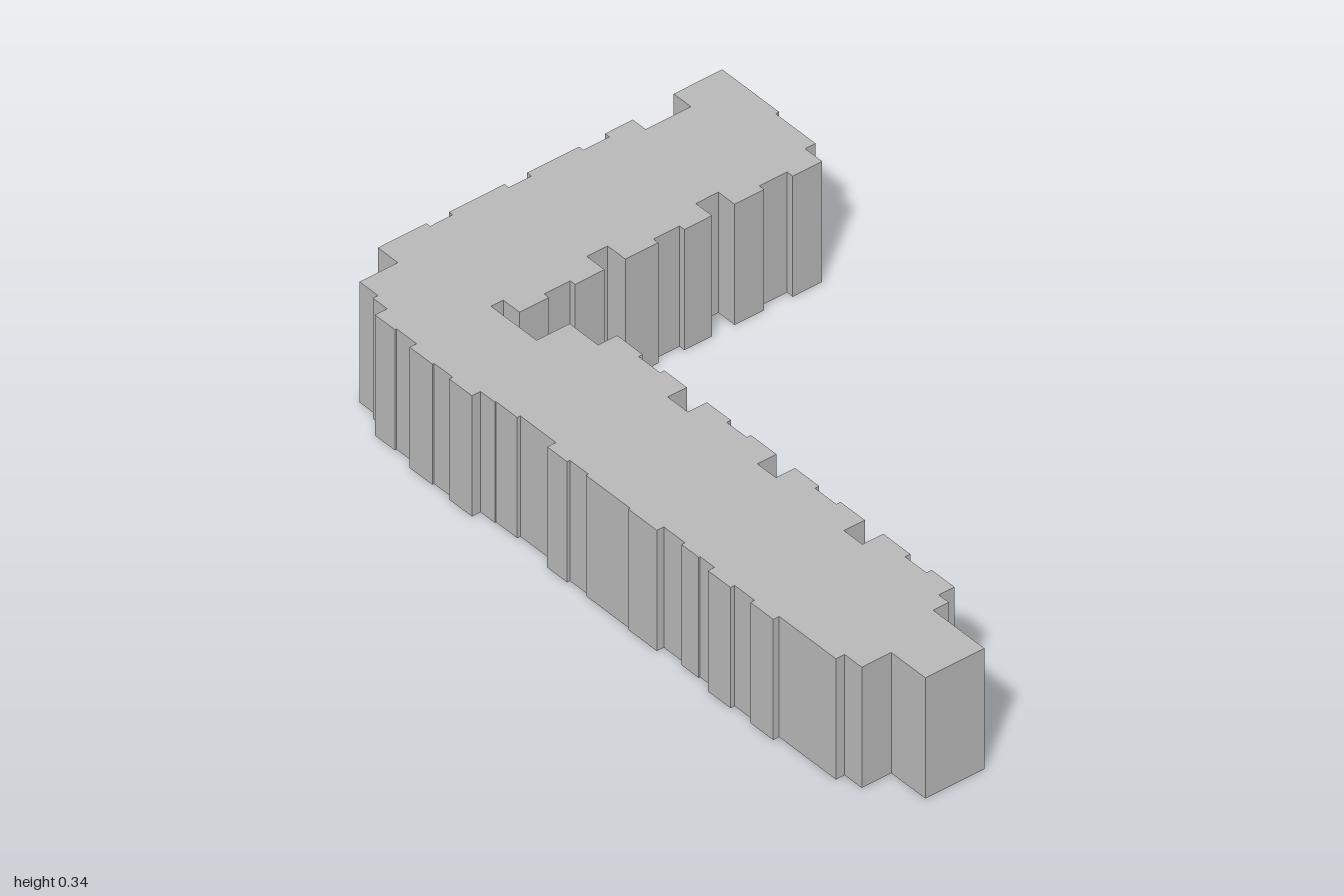
import * as THREE from 'three';

const HEIGHT = 0.34;

// Each facade is a row of bays: [end of bay along the wall, wall position].
const southBays = [ // west to east: [x end, z]
  [-0.85, 0.52], [-0.8, 0.535], [-0.73, 0.57], [-0.66, 0.565], [-0.58, 0.585], [-0.515, 0.58],
  [-0.435, 0.59], [-0.385, 0.565], [-0.31, 0.562], [-0.185, 0.553], [-0.115, 0.578], [-0.05, 0.57],
  [0.105, 0.577], [0.205, 0.582], [0.28, 0.562], [0.34, 0.572], [0.39, 0.568], [0.47, 0.587],
  [0.54, 0.575], [0.62, 0.587], [0.82, 0.57], [0.88, 0.545], [1, 0.46],
];
const northBays = [ // east to west: [x end, z]
  [0.82, 0.29], [0.785, 0.245], [0.705, 0.2], [0.63, 0.215], [0.535, 0.2], [0.47, 0.26],
  [0.385, 0.2], [0.31, 0.212], [0.225, 0.2], [0.16, 0.255], [0.07, 0.2], [0, 0.212],
  [-0.085, 0.2], [-0.155, 0.255], [-0.235, 0.2], [-0.31, 0.212], [-0.4, 0.2], [-0.5, 0.255], [-0.66, 0.35],
];
const courtBays = [ // south to north: [z end, x]
  [0.315, -0.66], [0.23, -0.603], [0.155, -0.62], [0.07, -0.603], [0.01, -0.665], [-0.085, -0.603],
  [-0.16, -0.62], [-0.24, -0.603], [-0.305, -0.66], [-0.39, -0.603], [-0.47, -0.62], [-0.555, -0.6], [-0.583, -0.66],
];
const endBays = [[-0.8, -0.585], [-1, -0.595]]; // east to west: [x end, z]
const westBays = [ // north to south: [z end, x]
  [-0.455, -1], [-0.325, -0.94], [-0.245, -0.985], [-0.17, -0.97], [-0.02, -0.985],
  [0.045, -0.97], [0.205, -0.985], [0.27, -0.972], [0.41, -0.985],
];

export function createModel() {
  const model = new THREE.Group();
  const wallGrey = new THREE.MeshStandardMaterial({ name: 'wallGrey', color: 0xb8b8b8 });

  // Step around the footprint; shape y is -z so the extrusion can be laid flat.
  const points = [];
  let x = -0.915, z = 0.41;
  const add = () => points.push(new THREE.Vector2(x, -z));
  const alongX = (bays) => bays.forEach(([end, wall]) => { z = wall; add(); x = end; add(); });
  const alongZ = (bays) => bays.forEach(([end, wall]) => { x = wall; add(); z = end; add(); });
  add();
  alongX(southBays);
  alongX(northBays);
  alongZ(courtBays);
  alongX(endBays);
  alongZ(westBays);

  // Drop repeated corners where one facade meets the next.
  const outline = points.filter((p, i) => i === 0 || p.distanceTo(points[i - 1]) > 1e-4);

  // L-shaped apartment block
  const geometry = new THREE.ExtrudeGeometry(new THREE.Shape(outline), { depth: HEIGHT, bevelEnabled: false });
  geometry.rotateX(-Math.PI / 2);
  const block = new THREE.Mesh(geometry, wallGrey);
  block.name = 'apartmentBlock';
  model.add(block);
  return model;
}
